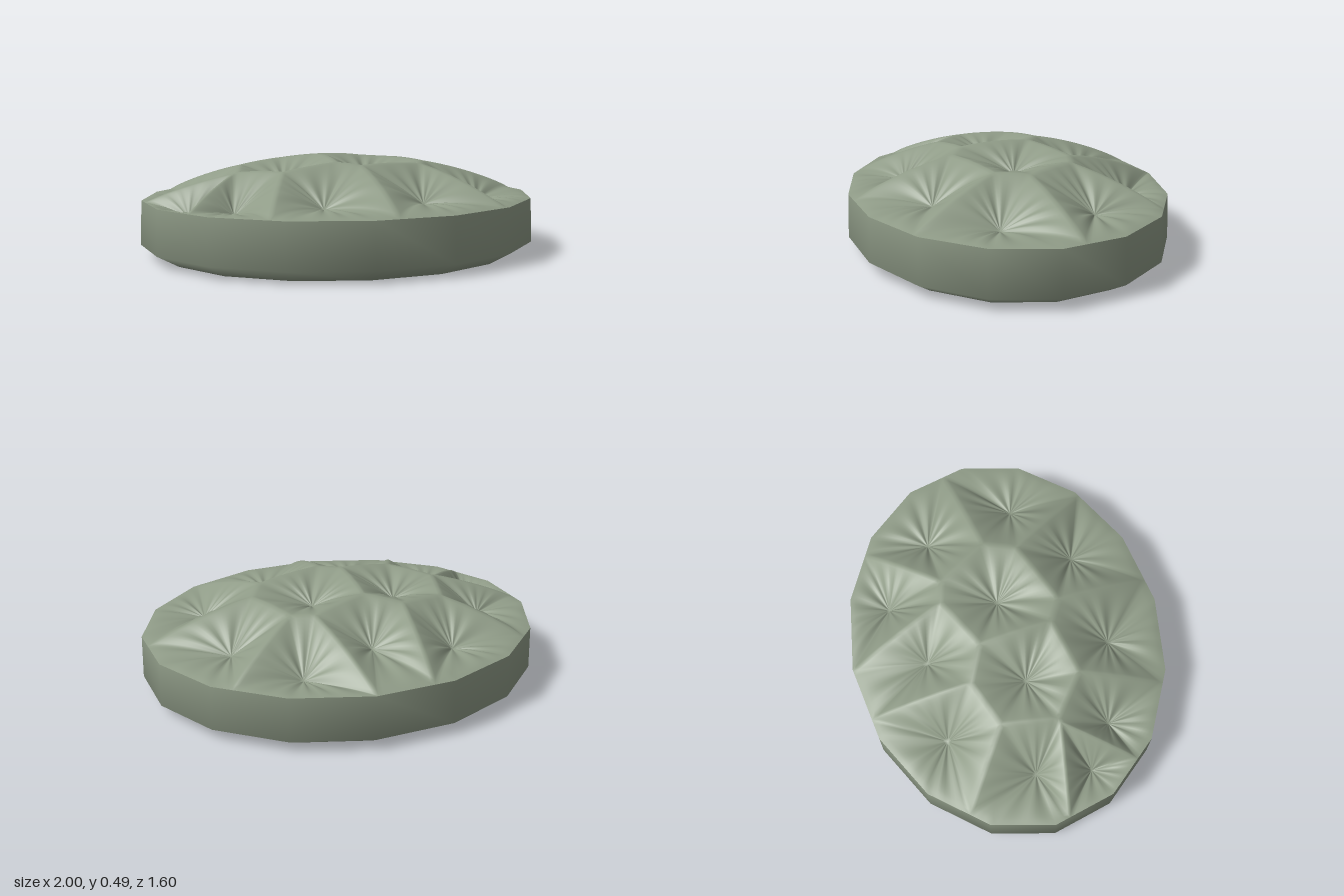
import * as THREE from 'three';
import { mergeVertices } from 'three/addons/utils/BufferGeometryUtils.js';

const SIDES = 16, DEPTH = 0.8, RIM_Y = 0.28, RIM_R = 0.99, CROWN = 0.21, TUFT = 0.12;

// Button positions [x, z] of the tufted top
const BUTTONS = [
  [-0.47, -0.41], [-0.07, -0.42], [0.28, -0.55], [0.58, -0.28],
  [0.67, 0.19], [0.32, 0.43], [-0.17, 0.49], [-0.57, 0.38],
  [-0.77, 0.24], [-0.73, -0.03], [-0.29, 0.03], [0.14, -0.01],
];

// Height of the puffed dome: round in the middle, meeting the straight-sided rim at its edge
function domeY(x, z) {
  const apothem = RIM_R * Math.cos(Math.PI / SIDES);
  let flat = 0;
  for (let i = 0; i < SIDES; i++) {
    const a = (i + 0.5) / SIDES * Math.PI * 2;
    flat = Math.max(flat, (x * Math.sin(a) + z / DEPTH * Math.cos(a)) / apothem);
  }
  const round = Math.hypot(x, z / DEPTH) / RIM_R;
  const g = round + (flat - round) * Math.pow(flat, 16);
  return RIM_Y + CROWN * Math.max(0, 1 - g * g);
}

// The part of a polygon that lies nearer to button s than to button o
function clipToNearer(poly, s, o) {
  const nx = o[0] - s[0], nz = o[1] - s[1];
  const c = (o[0] * o[0] + o[1] * o[1] - s[0] * s[0] - s[1] * s[1]) / 2;
  const out = [];
  poly.forEach((p, i) => {
    const q = poly[(i + 1) % poly.length];
    const dp = p[0] * nx + p[1] * nz - c, dq = q[0] * nx + q[1] * nz - c;
    if (dp <= 0) out.push(p);
    if (dp * dq < 0) {
      const t = dp / (dp - dq);
      out.push([p[0] + (q[0] - p[0]) * t, p[1] + (q[1] - p[1]) * t]);
    }
  });
  return out;
}

// Each button pulls its cell of the dome down into a pleated funnel between the ridges
function tuftedTop() {
  const outline = [];
  for (let i = 0; i < SIDES; i++) {
    const a = i / SIDES * Math.PI * 2;
    outline.push([Math.sin(a) * RIM_R, Math.cos(a) * RIM_R * DEPTH]);
  }
  const pos = [], index = [], RINGS = 14;
  BUTTONS.forEach((s, k) => {
    let cell = outline;
    BUTTONS.forEach((o) => { if (o !== s) cell = clipToNearer(cell, s, o); });

    // Evenly divided border of the cell
    const border = [];
    cell.forEach((p, i) => {
      const q = cell[(i + 1) % cell.length];
      const n = Math.max(1, Math.ceil(Math.hypot(q[0] - p[0], q[1] - p[1]) / 0.025 - 1e-6));
      for (let j = 0; j < n; j++) border.push([p[0] + (q[0] - p[0]) * j / n, p[1] + (q[1] - p[1]) * j / n]);
    });

    const start = pos.length / 3, n = border.length;
    pos.push(s[0], domeY(s[0], s[1]) - TUFT, s[1]);
    for (let r = 1; r <= RINGS; r++) {
      const t = r / RINGS;
      for (const [bx, bz] of border) {
        const x = s[0] + (bx - s[0]) * t, z = s[1] + (bz - s[1]) * t;
        const a = Math.atan2(bx - s[0], bz - s[1]);
        const pleat = 0.025 * t * Math.pow(1 - t, 1.3) * Math.cos(13 * a + 1.5 * Math.sin(3 * a + k));
        pos.push(x, domeY(x, z) - TUFT * Math.pow(1 - t, 1.15) + pleat, z);
      }
    }
    for (let i = 0; i < n; i++) {
      const j = (i + 1) % n;
      index.push(start, start + 1 + i, start + 1 + j);
      for (let r = 1; r < RINGS; r++) {
        const a = start + 1 + (r - 1) * n, b = a + n;
        index.push(a + i, b + i, b + j, a + i, b + j, a + j);
      }
    }
  });
  let geo = new THREE.BufferGeometry();
  geo.setAttribute('position', new THREE.Float32BufferAttribute(pos, 3));
  geo.setIndex(index);
  geo = mergeVertices(geo, 1e-4);
  geo.computeVertexNormals();
  return geo;
}

export function createModel() {
  const fabric = new THREE.MeshStandardMaterial({ color: 0x8f9b87 });
  fabric.name = 'sage fabric';
  const group = new THREE.Group();
  group.name = 'tuftedCushion';

  // Sixteen-sided oval body with a bevelled base
  const profile = [[0, 0], [0.89, 0], [1, 0.06], [RIM_R, RIM_Y]].map(([x, y]) => new THREE.Vector2(x, y));
  const bodyGeo = new THREE.LatheGeometry(profile, SIDES);
  bodyGeo.scale(1, 1, DEPTH);
  const body = new THREE.Mesh(bodyGeo, fabric);
  body.name = 'cushionBody';

  const top = new THREE.Mesh(tuftedTop(), fabric);
  top.name = 'tuftedTop';

  group.add(body, top);
  return group;
}
